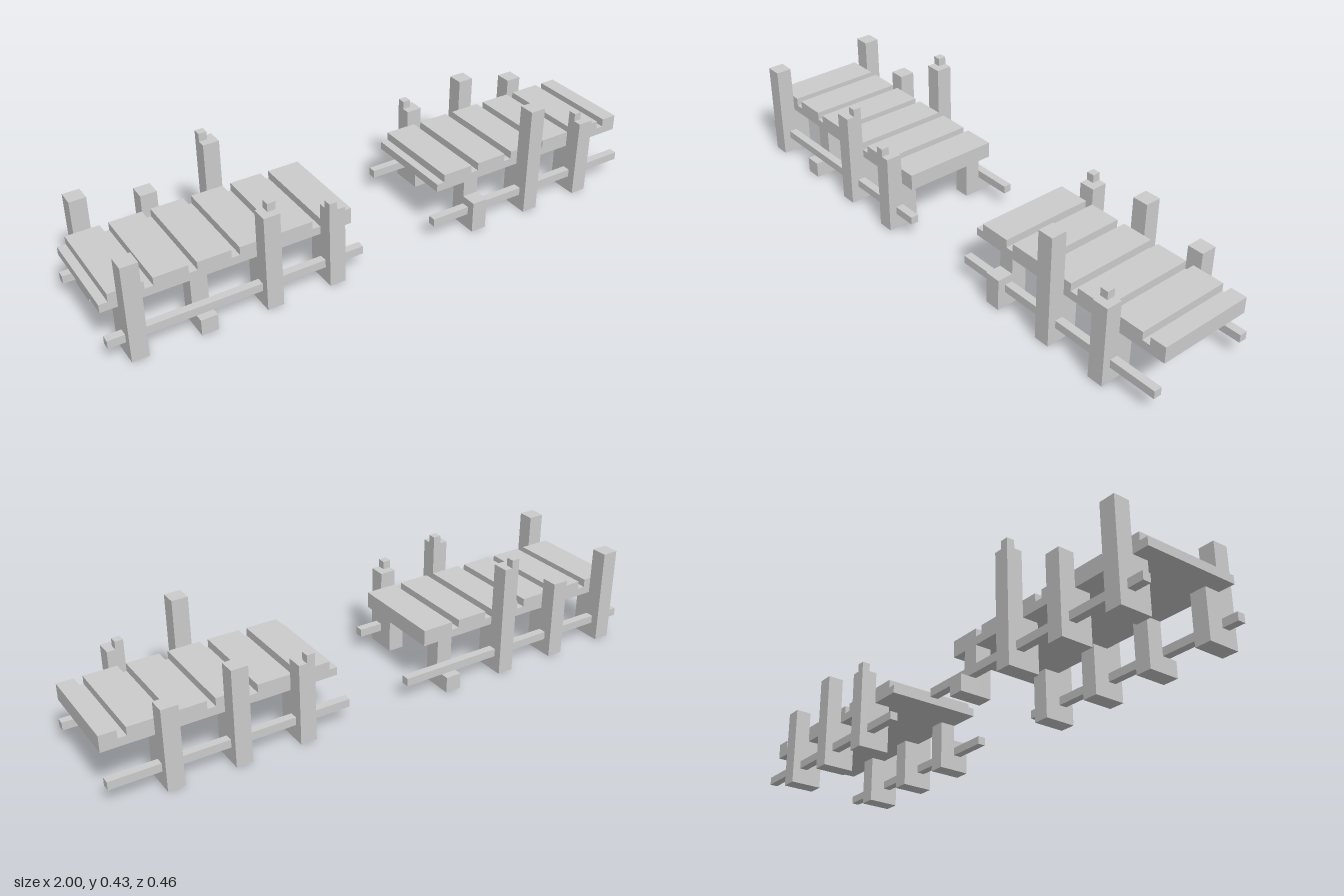
import * as THREE from 'three';

const U = 1 / 35; // block size; the whole pier is 70 blocks long
const material = new THREE.MeshStandardMaterial({ color: 0xcccccc, flatShading: true });

// Box from block ranges; x is counted from the right-hand end (-x)
function block(parent, name, x0, x1, y0, y1, z0, z1) {
  const geo = new THREE.BoxGeometry((x1 - x0) * U, (y1 - y0) * U, (z1 - z0) * U);
  const mesh = new THREE.Mesh(geo, material);
  mesh.name = name;
  mesh.position.set(((x0 + x1) / 2 - 35) * U, ((y0 + y1) / 2) * U, ((z0 + z1) / 2) * U);
  parent.add(mesh);
}

// Same box on the front (side 1) or mirrored to the back (side -1)
function sideBlock(parent, name, side, x0, x1, y0, y1, z0, z1) {
  block(parent, name, x0, x1, y0, y1, side > 0 ? z0 : -z1, side > 0 ? z1 : -z0);
}

// Post with an inner leg under the deck; splinter = [x offset, z start] of a one-block chip on top
function post(parent, side, x, height, splinter) {
  const g = new THREE.Group();
  g.name = side > 0 ? 'frontPost' : 'backPost';
  sideBlock(g, 'upright', side, x, x + 2, 0, height, 6, 8);
  sideBlock(g, 'innerLeg', side, x, x + 2, 0, 6, 4, 6);
  if (splinter) {
    const [dx, z] = splinter;
    sideBlock(g, 'splinter', side, x + dx, x + dx + 1, height, height + 1, z, z + 1);
  }
  parent.add(g);
}

const sections = [
  {
    name: 'rightSection', deck: [0, 30], firstPlank: 1, frontRail: [0, 31], backRail: [0, 33],
    front: [[2, 12], [10, 2], [18, 12, [1, 6]], [26, 10, [0, 7]]],
    back: [[2, 12], [10, 10], [18, 14, [0, 7]], [26, 2]],
  },
  {
    name: 'leftSection', deck: [42, 70], firstPlank: 43, frontRail: [41, 70], backRail: [41, 70],
    front: [[46, 4], [54, 14], [62, 10, [0, 6]]],
    back: [[46, 10, [0, 7]], [54, 12], [62, 10]],
  },
];

export function createModel() {
  const model = new THREE.Group();
  model.name = 'brokenPier';
  for (const s of sections) {
    const g = new THREE.Group();
    g.name = s.name;
    // Deck: solid base with planks one block apart
    block(g, 'deckBase', s.deck[0], s.deck[1], 6, 7, -6, 6);
    for (let x = s.firstPlank; x < s.deck[1]; x += 5) {
      block(g, 'plank', x, Math.min(x + 4, s.deck[1]), 7, 8, -6, 6);
    }
    // Lower rails
    sideBlock(g, 'frontRail', 1, ...s.frontRail, 2, 3, 6, 7);
    sideBlock(g, 'backRail', -1, ...s.backRail, 2, 3, 6, 7);
    // Posts
    for (const p of s.front) post(g, 1, ...p);
    for (const p of s.back) post(g, -1, ...p);
    model.add(g);
  }
  return model;
}
